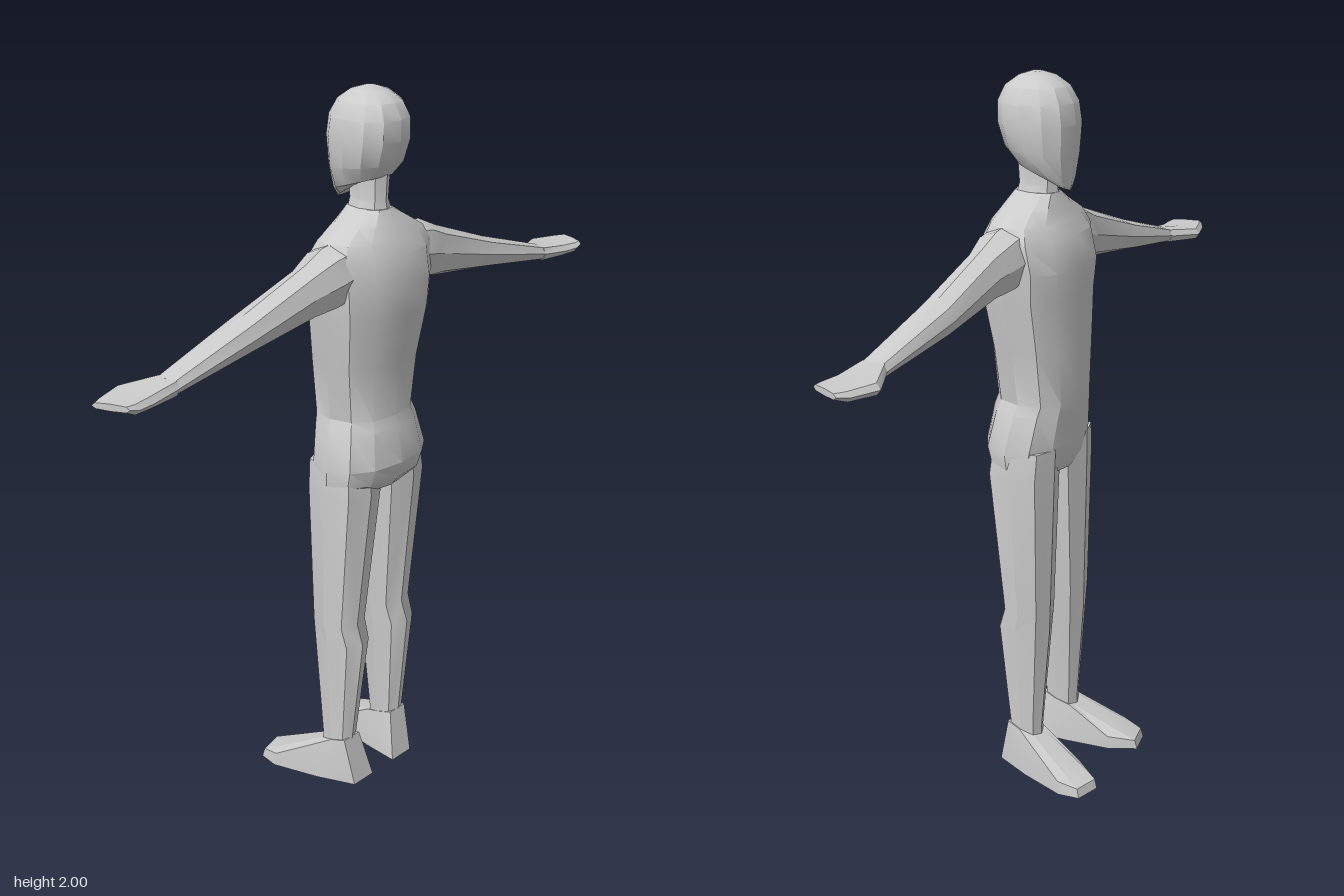
import * as THREE from 'three';
import { toCreasedNormals } from 'three/addons/utils/BufferGeometryUtils.js';

const material = new THREE.MeshStandardMaterial({ color: 0xcccccc });

// Points of a rounded polygon in the unit square; power below 1 makes it boxier.
function outline(sides, power) {
  return Array.from({ length: sides }, (_, i) => {
    const a = (i / sides) * Math.PI * 2;
    const bend = (v) => (Math.abs(v) < 1e-6 ? 0 : Math.sign(v) * Math.abs(v) ** power);
    return [bend(Math.cos(a)), bend(Math.sin(a))];
  });
}

// Horizontal ring between x0..x1 and z0..z1; tilt raises it towards the back.
function levelRing(y, x0, x1, z0, z1, sides = 8, power = 0.85, tilt = 0) {
  return outline(sides, power).map(([u, v]) => [
    (x0 + x1) / 2 + (u * (x1 - x0)) / 2,
    y + (tilt * (v + 1)) / 2,
    (z0 + z1) / 2 + (v * (z1 - z0)) / 2,
  ]);
}

// Skins closed rings, caps both ends and turns every face outwards.
function loft(name, rings, side = 1, crease = 0.5) {
  const n = rings[0].length;
  const points = rings.flat().map(([x, y, z]) => new THREE.Vector3(x * side, y, z));
  const faces = [];
  for (let r = 0; r < rings.length - 1; r++) {
    for (let i = 0; i < n; i++) {
      const a = r * n + i, b = r * n + ((i + 1) % n);
      faces.push([a, b, b + n], [a, b + n, a + n]);
    }
  }
  const last = (rings.length - 1) * n;
  for (let i = 1; i < n - 1; i++) {
    faces.push([0, i + 1, i], [last, last + i, last + i + 1]);
  }
  const centre = points.reduce((s, p) => s.add(p), new THREE.Vector3()).divideScalar(points.length);
  let volume = 0;
  for (const f of faces) {
    const [a, b, c] = f.map((k) => points[k].clone().sub(centre));
    volume += a.dot(b.cross(c));
  }
  if (volume < 0) faces.forEach((f) => f.reverse());
  const geometry = new THREE.BufferGeometry().setFromPoints(points);
  geometry.setIndex(faces.flat());
  const mesh = new THREE.Mesh(toCreasedNormals(geometry, crease), material);
  mesh.name = name;
  return mesh;
}

function makeTorso() {
  // height, half width, front z, back z
  const rows = [
    [0.92, 0.1, -0.035, 0.14], [0.95, 0.172, -0.045, 0.165], [1.0, 0.176, -0.055, 0.182],
    [1.1, 0.15, -0.066, 0.165], [1.13, 0.138, -0.07, 0.155], [1.28, 0.158, -0.07, 0.165],
    [1.42, 0.178, -0.07, 0.19], [1.5, 0.185, -0.077, 0.195], [1.58, 0.19, -0.055, 0.178],
    [1.62, 0.168, -0.03, 0.158], [1.655, 0.105, -0.015, 0.14], [1.69, 0.045, -0.003, 0.122],
  ];
  return loft('torso', rows.map(([y, w, f, b]) => levelRing(y, -w, w, f, b, 12, 0.85)));
}

function makeNeck() {
  const rows = [[1.66, 0.055, -0.005, 0.125], [1.71, 0.036, 0, 0.115], [1.8, 0.04, 0, 0.12]];
  return loft('neck', rows.map(([y, w, f, b]) => levelRing(y, -w, w, f, b)));
}

function makeHead() {
  // The rings rise towards the back below the ears, giving the jaw its slope.
  const rows = [
    [1.7, 0.034, -0.04, 0.06, 0.06], [1.725, 0.066, -0.044, 0.115, 0.05],
    [1.79, 0.092, -0.05, 0.143, 0.02], [1.87, 0.1, -0.056, 0.163, 0],
    [1.925, 0.096, -0.048, 0.163, 0], [1.965, 0.077, -0.025, 0.143, 0],
    [1.99, 0.046, 0.01, 0.108, 0], [2.0, 0.014, 0.045, 0.075, 0],
  ];
  return loft('head', rows.map(([y, w, f, b, t]) => levelRing(y, -w, w, f, b, 12, 0.9, t)));
}

function makeArm(side) {
  // x, low y, high y, front z, back z
  const rows = [
    [0.1, 1.47, 1.63, 0.0, 0.14], [0.19, 1.449, 1.617, -0.005, 0.14],
    [0.26, 1.443, 1.585, 0.015, 0.122], [0.48, 1.415, 1.505, 0.01, 0.115],
    [0.74, 1.38, 1.425, 0.03, 0.108],
  ];
  return loft('arm', rows.map(([x, lo, hi, f, b]) =>
    outline(8, 0.9).map(([u, v]) => [
      x, (lo + hi) / 2 + (v * (hi - lo)) / 2, (f + b) / 2 + (u * (b - f)) / 2,
    ])), side);
}

function makeHand(side) {
  // x, low y, high y, front z, back z, slant of the fingertips
  const rows = [
    [0.73, 1.381, 1.426, 0.03, 0.108, 0], [0.82, 1.377, 1.414, -0.018, 0.118, 0],
    [0.885, 1.38, 1.412, 0.01, 0.124, 0.015], [0.911, 1.393, 1.411, 0.028, 0.12, 0.018],
  ];
  return loft('hand', rows.map(([x, lo, hi, f, b, s]) =>
    outline(8, 0.6).map(([u, v]) => [
      x - s * u, (lo + hi) / 2 + (v * (hi - lo)) / 2, (f + b) / 2 + (u * (b - f)) / 2,
    ])), side);
}

function makeLeg(side) {
  // height, inner x, outer x, front z, back z
  const rows = [
    [1.0, 0.004, 0.168, -0.045, 0.14], [0.92, 0.002, 0.177, -0.043, 0.148],
    [0.51, 0.03, 0.161, -0.032, 0.104], [0.45, 0.035, 0.158, -0.031, 0.125],
    [0.13, 0.064, 0.141, -0.006, 0.09], [0.1, 0.064, 0.143, -0.008, 0.095],
  ];
  return loft('leg', rows.map(([y, a, b, f, k]) => levelRing(y, a, b, f, k, 8, 0.8)), side);
}

function makeFoot(side) {
  // Matching outlines of ankle, upper edge and sole, starting at the inner heel.
  const ankle = [
    [0.07, 0.14, 0.088], [0.134, 0.14, 0.088], [0.143, 0.13, 0.045], [0.135, 0.115, 0.0],
    [0.12, 0.11, -0.01], [0.085, 0.11, -0.01], [0.07, 0.115, 0.0], [0.062, 0.13, 0.045],
  ];
  const sole = [
    [0.045, 0, 0.12], [0.125, 0, 0.12], [0.168, 0, 0.01], [0.206, 0, -0.125],
    [0.195, 0, -0.185], [0.122, 0, -0.203], [0.08, 0, -0.13], [0.055, 0, 0.01],
  ];
  const heights = [0.04, 0.04, 0.05, 0.04, 0.027, 0.027, 0.04, 0.05];
  const upper = sole.map(([x, , z], i) => {
    const t = i > 2 && i < 7 ? 0.04 : 0.28;
    return [x + (ankle[i][0] - x) * t, heights[i], z + (ankle[i][2] - z) * t];
  });
  return loft('foot', [ankle, upper, sole], side, 0.4);
}

export function createModel() {
  const model = new THREE.Group();
  model.name = 'figure';
  model.add(makeTorso(), makeNeck(), makeHead());
  // Limbs on both sides
  for (const side of [1, -1]) {
    const limbs = new THREE.Group();
    limbs.name = side > 0 ? 'positiveSideLimbs' : 'negativeSideLimbs';
    limbs.add(makeArm(side), makeHand(side), makeLeg(side), makeFoot(side));
    model.add(limbs);
  }
  return model;
}
